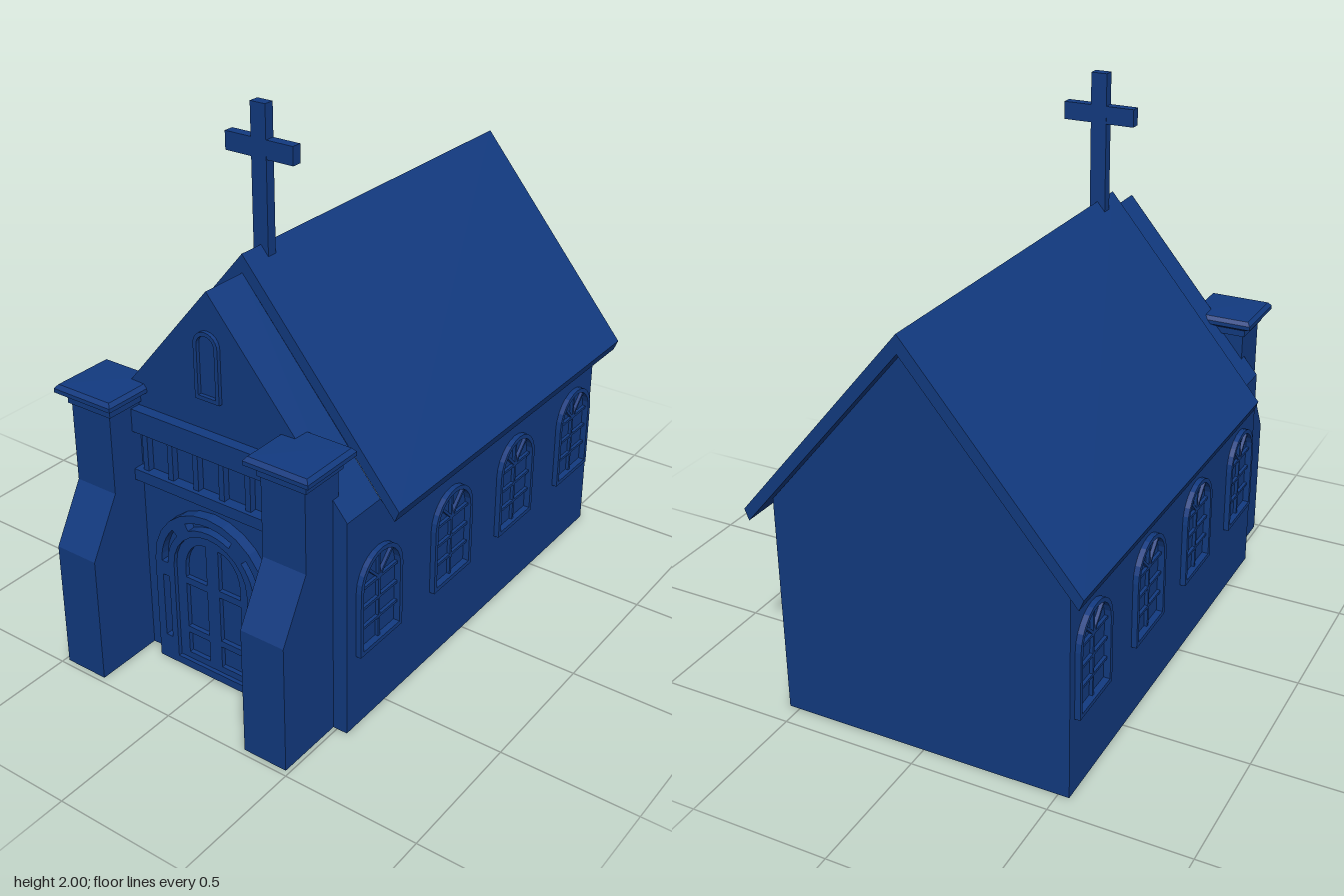
import * as THREE from 'three';

const mat = new THREE.MeshStandardMaterial({ color: 0x123a80, side: THREE.DoubleSide });

function add(parent, name, geo, x = 0, y = 0, z = 0) {
  const m = new THREE.Mesh(geo, mat);
  m.name = name;
  m.position.set(x, y, z);
  parent.add(m);
  return m;
}
const box = (parent, name, w, h, d, x, y, z) => add(parent, name, new THREE.BoxGeometry(w, h, d), x, y, z);
const poly = (pts) => new THREE.Shape(pts.map(([x, y]) => new THREE.Vector2(x, y)));
const rect = (x0, x1, y0, y1) => poly([[x0, y0], [x1, y0], [x1, y1], [x0, y1]]);
const extrude = (shape, depth) => new THREE.ExtrudeGeometry(shape, { depth, bevelEnabled: false });

// Points along a circular or elliptical arc
function arc(cx, cy, rx, ry, a0, a1, n = 10) {
  const pts = [];
  for (let i = 0; i <= n; i++) {
    const a = THREE.MathUtils.degToRad(a0 + (a1 - a0) * i / n);
    pts.push([cx + rx * Math.cos(a), cy + ry * Math.sin(a)]);
  }
  return pts;
}
// Round-headed opening of half width r
const arch = (r, y0, spring, cx = 0) => poly([[cx - r, y0], [cx + r, y0], ...arc(cx, spring, r, r, 0, 180, 12)]);

function ring(outer, inner) {
  outer.holes.push(inner);
  return outer;
}

// Roof-shaped solid: two sloping slabs meeting at a ridge
function chevron(apex, half, eave, innerHalf, innerEave, innerApex, z0, z1) {
  const s = poly([[0, apex], [-half, eave], [-innerHalf, innerEave], [0, innerApex], [innerHalf, innerEave], [half, eave]]);
  return extrude(s, z1 - z0).translate(0, 0, z0);
}

// Round-headed window facing local +z, wall plane at z = 0
function makeWindow() {
  const g = new THREE.Group();
  g.name = 'sideWindow';
  add(g, 'windowFrame', extrude(ring(arch(0.12, 0.285, 0.535), arch(0.104, 0.301, 0.535)), 0.03), 0, 0, -0.01);
  add(g, 'windowGlass', new THREE.ShapeGeometry(arch(0.112, 0.29, 0.535)), 0, 0, -0.004);
  box(g, 'windowMullion', 0.01, 0.335, 0.012, 0, 0.468, 0.002);
  for (const y of [0.38, 0.457, 0.535]) box(g, 'windowBar', 0.208, 0.01, 0.012, 0, y, 0.002);
  for (const s of [-1, 1]) {
    const bar = box(g, 'windowRadialBar', 0.104, 0.01, 0.012, s * 0.037, 0.572, 0.002);
    bar.rotation.z = s * Math.PI / 4;
  }
  return g;
}

function makeSide(s) {
  const g = new THREE.Group();
  g.name = s > 0 ? 'leftSide' : 'rightSide';
  const ends = [-s * 0.72, s * 0.92].sort((a, b) => a - b);
  const wall = rect(ends[0], ends[1], 0, 0.822);
  for (const z of [0.55, 0.11, -0.325, -0.765]) {
    wall.holes.push(arch(0.112, 0.293, 0.535, -s * z));
    const w = makeWindow();
    w.position.x = -s * z;
    g.add(w);
  }
  add(g, 'sideWall', new THREE.ShapeGeometry(wall));
  g.rotation.y = s * Math.PI / 2;
  g.position.x = s * 0.54;
  return g;
}

function makeButtress(s) {
  const g = new THREE.Group();
  g.name = s > 0 ? 'leftButtress' : 'rightButtress';
  const profile = poly([[0.72, 0], [0.98, 0], [0.98, 0.48], [0.86, 0.69], [0.86, 1], [0.69, 1], [0.69, 0.75], [0.72, 0.75]]);
  // The profile lies in z-y, swept across x
  add(g, 'buttressShaft', extrude(profile, 0.17).rotateY(-Math.PI / 2), 0.085);
  const cap = [[0, 0.985], [0.095, 0.985], [0.095, 1.01], [0.125, 1.027], [0.125, 1.042], [0.113, 1.056], [0, 1.06]]
    .map(([r, y]) => new THREE.Vector2(r * Math.SQRT2, y));
  const capGeo = new THREE.LatheGeometry(cap, 4).rotateY(Math.PI / 4).toNonIndexed();
  capGeo.computeVertexNormals();
  add(g, 'buttressCap', capGeo, 0, 0, 0.773);
  g.position.x = s * 0.4;
  return g;
}

function makeDoor() {
  const g = new THREE.Group();
  g.name = 'entrance';
  add(g, 'doorBacking', new THREE.ShapeGeometry(arch(0.24, 0, 0.41)), 0, 0, 0.728);

  // Arched surround with sunken slots
  const surround = ring(arch(0.245, 0, 0.41), arch(0.16, 0.03, 0.415));
  const slot = (a0, a1) => poly([...arc(0, 0.41, 0.215, 0.215, a0, a1, 6), ...arc(0, 0.41, 0.188, 0.188, a1, a0, 6)]);
  surround.holes.push(slot(0, 42), slot(62, 118), slot(138, 180));
  for (const s of [-1, 1]) surround.holes.push(rect(s * 0.185, s * 0.213, 0.1, 0.355));
  add(g, 'doorSurround', extrude(surround, 0.04), 0, 0, 0.72);

  // Door leaves with three sunken panels each
  const leaf = arch(0.16, 0.03, 0.415);
  for (const s of [-1, 1]) {
    leaf.holes.push(rect(s * 0.027, s * 0.12, 0.055, 0.14), rect(s * 0.027, s * 0.12, 0.165, 0.345));
    leaf.holes.push(poly([[0.027, 0.372], [0.12, 0.372], ...arc(0.027, 0.41, 0.093, 0.12, 0, 90, 6)].map(([x, y]) => [s * x, y])));
  }
  add(g, 'doorLeaves', extrude(leaf, 0.025), 0, 0, 0.72);
  return g;
}

export function createModel() {
  const root = new THREE.Group();
  root.name = 'chapel';

  // Walls
  const gable = () => poly([[-0.54, 0], [0.54, 0], [0.54, 0.822], [0, 1.465], [-0.54, 0.822]]);
  add(root, 'frontWall', new THREE.ShapeGeometry(ring(gable(), arch(0.235, 0.005, 0.41))), 0, 0, 0.72);
  const back = add(root, 'backWall', new THREE.ShapeGeometry(gable()), 0, 0, -0.92);
  back.rotation.y = Math.PI;
  for (const s of [1, -1]) {
    root.add(makeSide(s));
    root.add(makeButtress(s));
  }

  // Main roof and the lower roof behind the front gable
  add(root, 'roof', chevron(1.53, 0.612, 0.797, 0.596, 0.757, 1.465, -0.98, 0.54));
  add(root, 'frontRoof', chevron(1.465, 0.54, 0.822, 0.52, 0.805, 1.425, 0.54, 0.719));

  // Entrance and the panelled band above it
  root.add(makeDoor());
  box(root, 'cornice', 0.64, 0.085, 0.04, 0, 0.928, 0.74);
  box(root, 'ledge', 0.64, 0.042, 0.04, 0, 0.72, 0.74);
  for (let i = 0; i < 6; i++) box(root, 'bandDivider', 0.022, 0.146, 0.025, -0.275 + i * 0.11, 0.813, 0.7325);

  // Small gable window
  add(root, 'gableWindowFrame', extrude(ring(arch(0.05, 1.085, 1.28), arch(0.036, 1.1, 1.28)), 0.014), 0, 0, 0.72);

  // Roof cross
  box(root, 'crossUpright', 0.06, 0.51, 0.038, 0, 1.745, 0.424);
  box(root, 'crossBar', 0.27, 0.064, 0.037, 0, 1.852, 0.424);
  return root;
}
